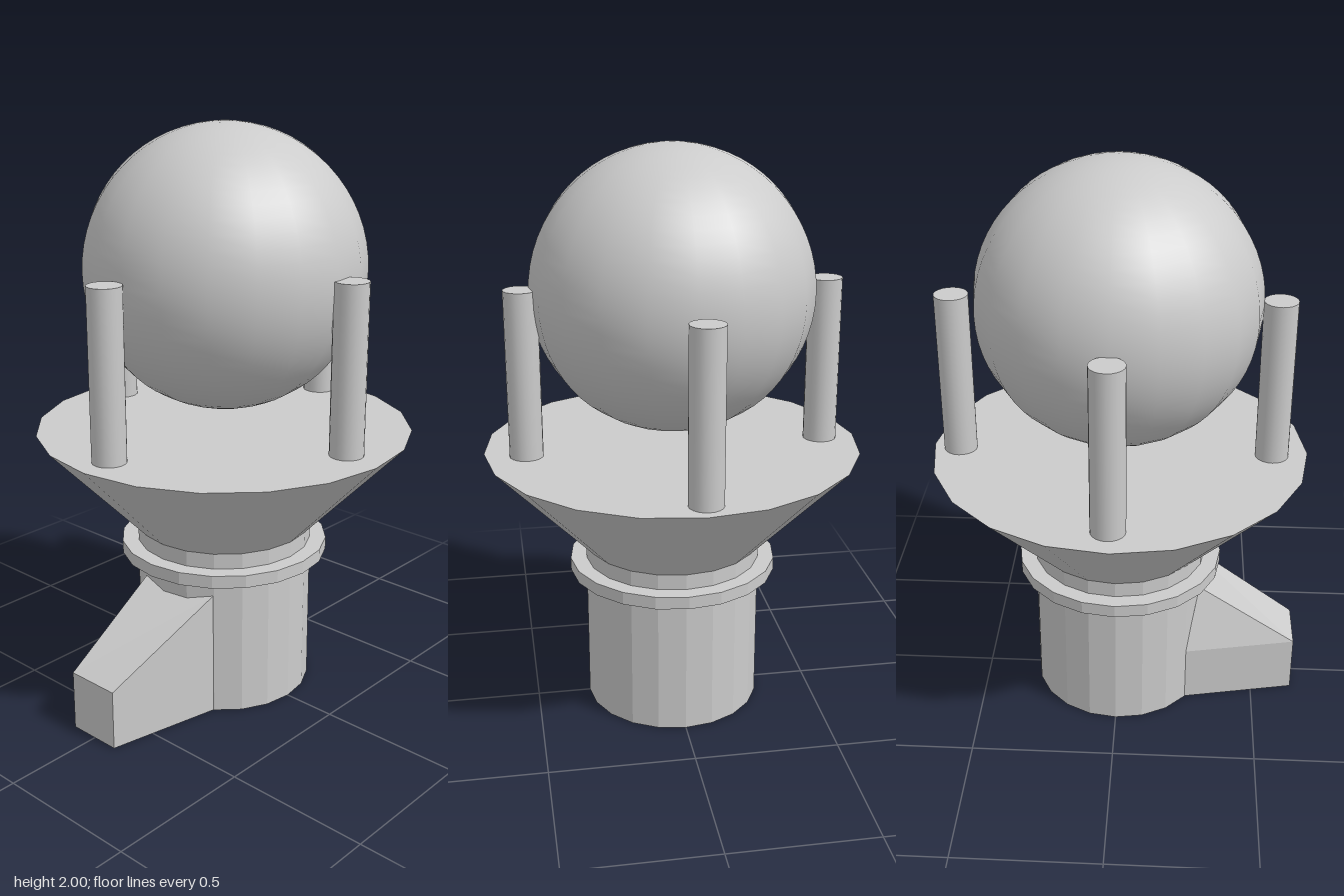
import * as THREE from 'three';

const SIDES = 20;

export function createModel() {
  const group = new THREE.Group();
  const flat = new THREE.MeshStandardMaterial({ color: 0xcccccc, flatShading: true });
  const smooth = new THREE.MeshStandardMaterial({ color: 0xcccccc });

  const add = (name, geometry, material, x = 0, y = 0, z = 0) => {
    const mesh = new THREE.Mesh(geometry, material);
    mesh.name = name;
    mesh.position.set(x, y, z);
    group.add(mesh);
  };
  // Upright round part spanning y0..y1
  const round = (name, rTop, rBottom, y0, y1, material, x = 0, z = 0) =>
    add(name, new THREE.CylinderGeometry(rTop, rBottom, y1 - y0, SIDES), material, x, (y0 + y1) / 2, z);

  // Pedestal, collar and flared dish
  round('pedestal', 0.31, 0.31, 0, 0.6, flat);
  round('collar', 0.367, 0.367, 0.5, 0.545, flat);
  round('dish', 0.655, 0.31, 0.6, 0.96, flat);

  // Ball
  add('ball', new THREE.SphereGeometry(0.482, SIDES, 32), smooth, 0, 1.52, -0.005);

  // Four posts around the ball
  const posts = [[-0.53, -0.01], [0.51, -0.035], [-0.017, -0.56], [-0.017, 0.53]];
  for (const [x, z] of posts) round('post', 0.058, 0.058, 0.96, 1.54, smooth, x, z);

  // Tapered foot with a sloping top and one bevelled shoulder
  const corners = [
    [-0.1, 0, 0.65], [0.095, 0, 0.65], [0.095, 0.21, 0.65], [-0.1, 0.21, 0.65], // front end
    [-0.18, 0, 0.25], [0.18, 0, 0.25], [0.18, 0.445, 0.25], // back, inside the pedestal
    [-0.18, 0.21, 0.25], [-0.1, 0.445, 0.295],
  ];
  const faces = [
    [0, 1, 2, 3], // front
    [1, 5, 6, 2], // left side
    [3, 2, 6, 8], // sloping top
    [4, 0, 3, 7], // right side
    [7, 3, 8],    // bevelled shoulder
    [0, 4, 5, 1], // underside
    [5, 4, 7, 8, 6], // back
  ];
  const positions = [];
  for (const f of faces)
    for (let i = 1; i < f.length - 1; i++)
      positions.push(...corners[f[0]], ...corners[f[i]], ...corners[f[i + 1]]);
  const foot = new THREE.BufferGeometry();
  foot.setAttribute('position', new THREE.Float32BufferAttribute(positions, 3));
  foot.computeVertexNormals();
  add('foot', foot, flat);

  return group;
}
